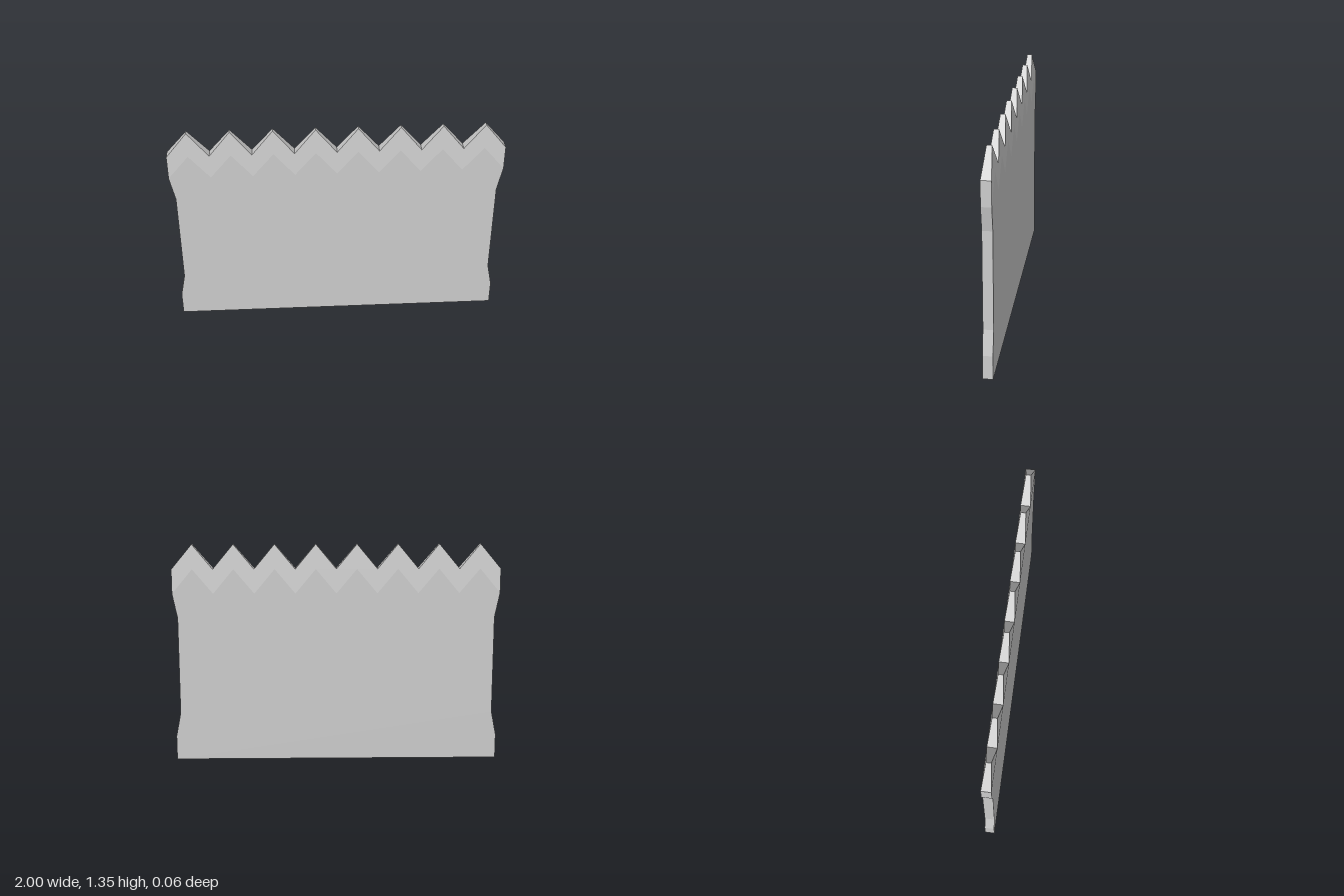
import * as THREE from 'three';

const TEETH = 8;      // pickets across the top
const HALF = 0.03;    // half thickness of the panel
const TIP = 0.015;    // half thickness at the picket tips
const VALLEY = 1.05;  // lower chevron line, rises by RISE at each peak
const RISE = 0.15;

// Collects quads, turning each one to face along the given normal
function quadBuilder() {
  const positions = [];
  const normals = [];
  return {
    add(a, b, c, d, n) {
      const e1 = b.clone().sub(a);
      const e2 = c.clone().sub(a);
      const outward = e1.cross(e2).dot(n) > 0;
      const corners = outward ? [a, b, c, a, c, d] : [a, c, b, a, d, c];
      const unit = n.clone().normalize();
      for (const p of corners) {
        positions.push(p.x, p.y, p.z);
        normals.push(unit.x, unit.y, unit.z);
      }
    },
    build() {
      const g = new THREE.BufferGeometry();
      g.setAttribute('position', new THREE.Float32BufferAttribute(positions, 3));
      g.setAttribute('normal', new THREE.Float32BufferAttribute(normals, 3));
      return g;
    },
  };
}

export function createModel() {
  const group = new THREE.Group();
  group.name = 'fencePanel';
  const material = new THREE.MeshStandardMaterial({ color: 0xcccccc });
  const v = (x, y, z) => new THREE.Vector3(x, y, z);
  const xAt = (i) => -1 + i / TEETH;
  const yAt = (i) => VALLEY + (i % 2) * RISE;

  // Panel with recessed sides and a chevron top edge
  const side = [[1, 0], [1, 0.15], [0.97, 0.3], [0.97, 0.9]];
  const outline = side.map(([x, y]) => new THREE.Vector2(x, y));
  for (let i = 2 * TEETH; i >= 0; i--) outline.push(new THREE.Vector2(xAt(i), yAt(i)));
  for (const [x, y] of [...side].reverse()) outline.push(new THREE.Vector2(-x, y));
  const panelGeometry = new THREE.ExtrudeGeometry(new THREE.Shape(outline), {
    depth: 2 * HALF, bevelEnabled: false,
  });
  panelGeometry.translate(0, 0, -HALF);
  const panel = new THREE.Mesh(panelGeometry, material);
  panel.name = 'panel';
  group.add(panel);

  // Picket tips: full thickness in the valleys, thinned at the peaks
  const quads = quadBuilder();
  const low = (i, s) => v(xAt(i), yAt(i), s * HALF);
  const top = (i, s) => v(xAt(i), yAt(i) + RISE, s * (i % 2 ? TIP : HALF));
  for (let i = 0; i < 2 * TEETH; i++) {
    const valley = i % 2 ? i + 1 : i;
    const peak = i % 2 ? i : i + 1;
    for (const s of [1, -1]) {
      quads.add(low(peak, s), top(peak, s), top(valley, s), low(valley, s), v(0, 0.1, s));
    }
    // Sloping top edge
    const slope = v(i % 2 ? RISE : -RISE, 1 / TEETH, 0);
    quads.add(top(i, 1), top(i + 1, 1), top(i + 1, -1), top(i, -1), slope);
  }
  // Ends of the tip row
  for (const i of [0, 2 * TEETH]) {
    quads.add(low(i, 1), top(i, 1), top(i, -1), low(i, -1), v(i ? 1 : -1, 0, 0));
  }
  const tips = new THREE.Mesh(quads.build(), material);
  tips.name = 'picketTips';
  group.add(tips);

  return group;
}
